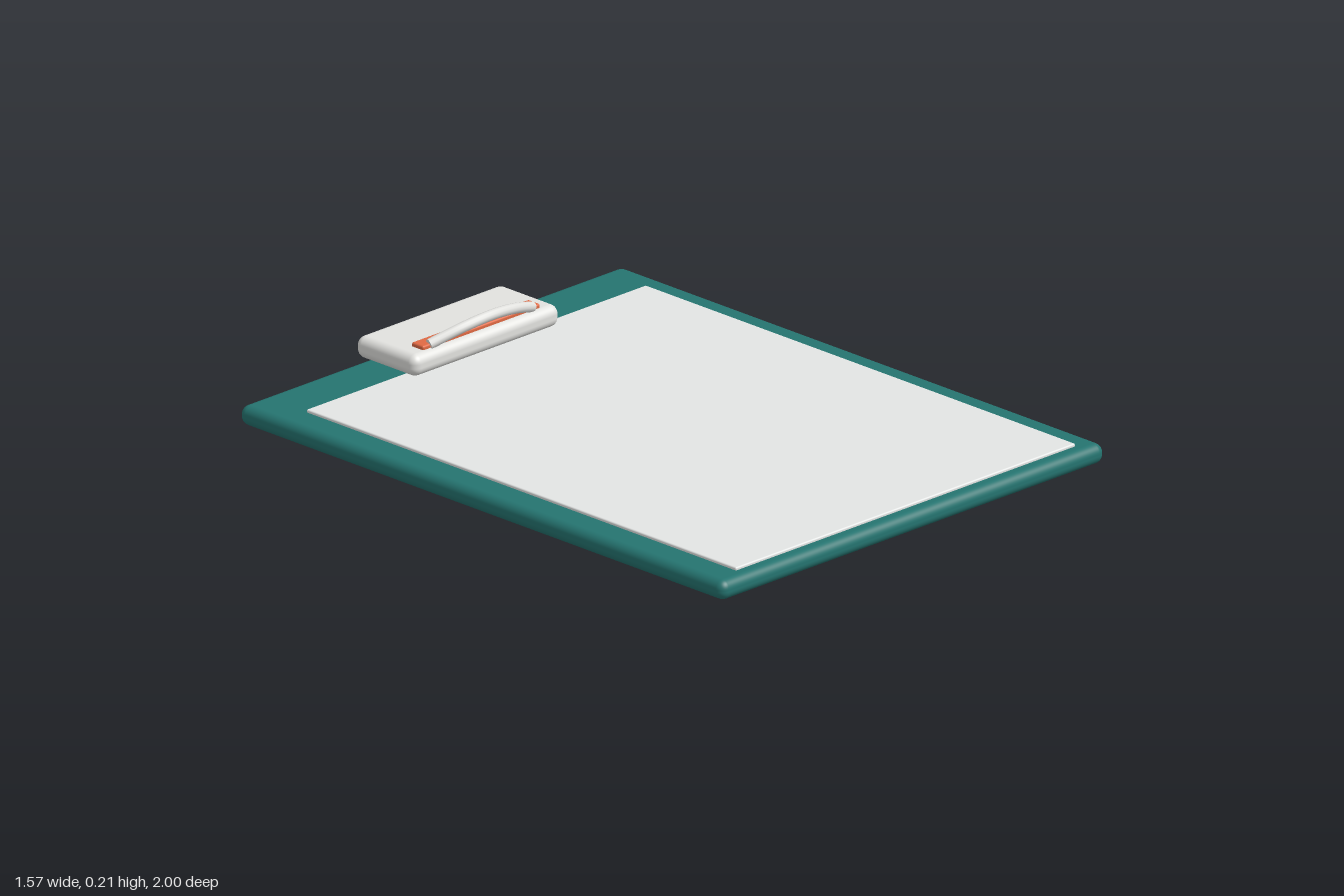
import * as THREE from 'three';
import { RoundedBoxGeometry } from 'three/addons/geometries/RoundedBoxGeometry.js';

const material = (name, color) => {
  const m = new THREE.MeshStandardMaterial({ color });
  m.name = name;
  return m;
};

export function createModel() {
  const teal = material('teal', 0x257470);
  const paperWhite = material('paper white', 0xe3e5e4);
  const metal = material('pale metal', 0xe2e2df);
  const orange = material('orange', 0xe06a44);

  const group = new THREE.Group();
  group.name = 'clipboard';

  const add = (name, geometry, mat) => {
    const mesh = new THREE.Mesh(geometry, mat);
    mesh.name = name;
    group.add(mesh);
    return mesh;
  };

  // Rounded block given by its min and max corners
  const block = (name, [x0, y0, z0], [x1, y1, z1], radius, mat) => {
    const geometry = new RoundedBoxGeometry(x1 - x0, y1 - y0, z1 - z0, 5, radius);
    add(name, geometry, mat).position.set((x0 + x1) / 2, (y0 + y1) / 2, (z0 + z1) / 2);
  };

  block('board', [-0.785, 0, -0.99], [0.785, 0.062, 1], 0.028, teal);
  block('paper', [-0.685, 0.058, -0.81], [0.705, 0.071, 0.955], 0.005, paperWhite);
  block('clipBody', [-0.3, 0.072, -1], [0.3, 0.14, -0.75], 0.028, metal);
  block('clipStrip', [-0.24, 0.125, -0.825], [0.24, 0.152, -0.776], 0.006, orange);

  // Bent lever, leaning forward at 45 degrees
  const bend = [[-0.21, 0], [-0.1, 0.034], [0, 0.046], [0.1, 0.034], [0.21, 0]];
  const path = new THREE.CatmullRomCurve3(
    bend.map(([x, rise]) => new THREE.Vector3(x, 0.149 + rise, -0.782 + rise))
  );
  add('clipLever', new THREE.TubeGeometry(path, 32, 0.016, 12), metal);

  // Flat caps closing the lever
  for (const end of [0, 1]) {
    const cap = add('leverCap', new THREE.CircleGeometry(0.016, 12), metal);
    const outward = path.getTangent(end).multiplyScalar(end ? 1 : -1);
    cap.position.copy(path.getPoint(end));
    cap.quaternion.setFromUnitVectors(new THREE.Vector3(0, 0, 1), outward);
  }

  return group;
}
